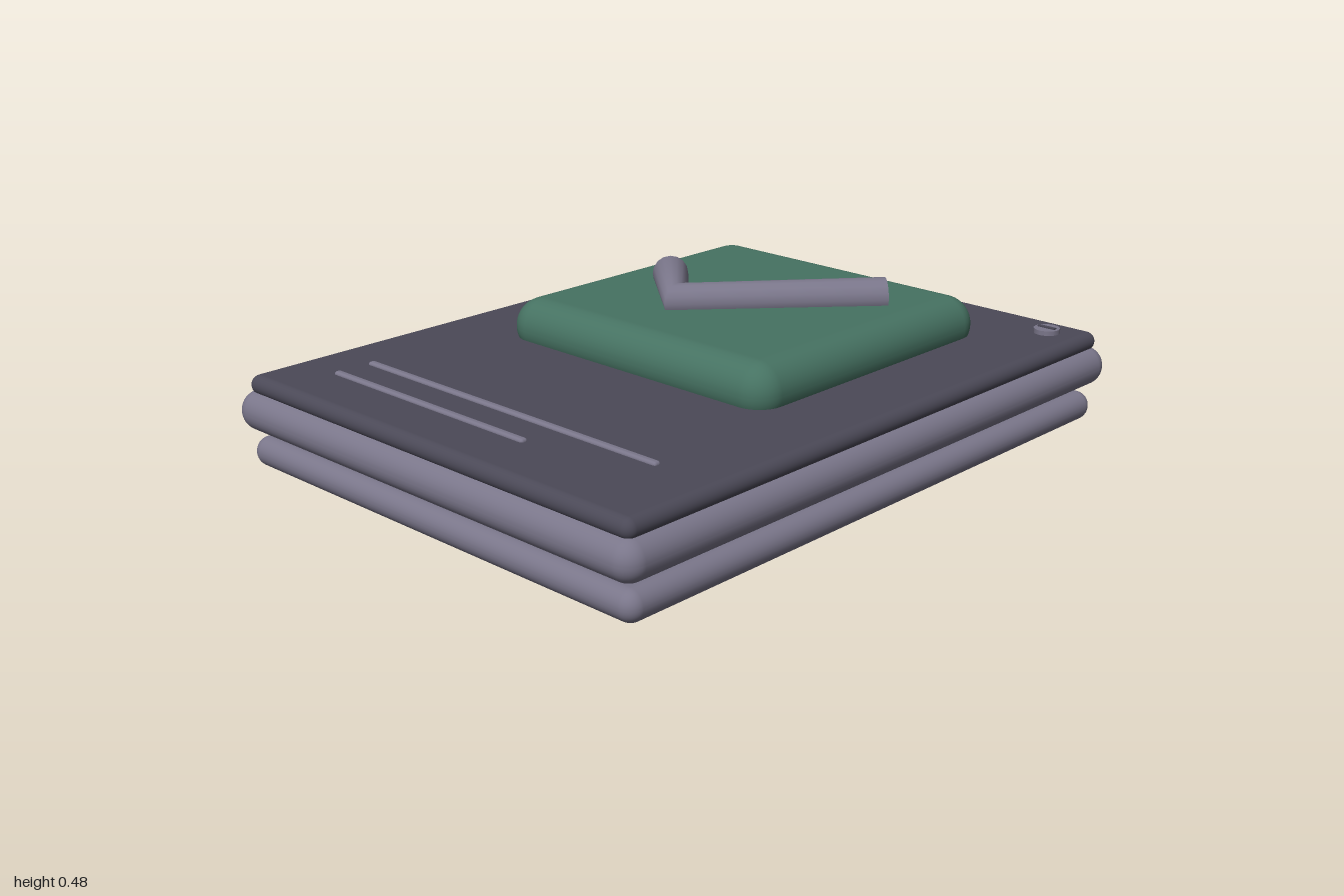
import * as THREE from 'three';
import { RoundedBoxGeometry } from 'three/addons/geometries/RoundedBoxGeometry.js';

const material = (name, color, side = THREE.FrontSide) => {
  const m = new THREE.MeshStandardMaterial({ color, side });
  m.name = name;
  return m;
};

// Polyline whose rings fall exactly on its corners, giving a crisp bend
class BentPath extends THREE.Curve {
  constructor(points) {
    super();
    this.points = points;
  }
  index(u) {
    return Math.round(u * (this.points.length - 1));
  }
  getPoint(u) {
    return this.points[this.index(u)].clone();
  }
  getPointAt(u) {
    return this.getPoint(u);
  }
  getTangentAt(u) {
    const i = this.index(u), p = this.points, t = new THREE.Vector3();
    if (i > 0) t.add(p[i].clone().sub(p[i - 1]).normalize());
    if (i < p.length - 1) t.add(p[i + 1].clone().sub(p[i]).normalize());
    return t.normalize();
  }
}

export function createModel() {
  const model = new THREE.Group();
  const grey = material('mauveGrey', 0x7a768a);
  const dark = material('darkSlate', 0x4b4957);
  const green = material('mutedGreen', 0x467262);
  const tubeGrey = grey;
  tubeGrey.side = THREE.DoubleSide;

  const add = (name, geometry, mat, x = 0, y = 0, z = 0) => {
    const mesh = new THREE.Mesh(geometry, mat);
    mesh.name = name;
    mesh.position.set(x, y, z);
    model.add(mesh);
    return mesh;
  };

  // Rounded slab given by its limits on each axis
  const slab = (name, mat, [x0, x1], [y0, y1], [z0, z1], radius) =>
    add(name, new RoundedBoxGeometry(x1 - x0, y1 - y0, z1 - z0, 5, radius), mat,
      (x0 + x1) / 2, (y0 + y1) / 2, (z0 + z1) / 2);

  // Stacked cards
  slab('backCard', grey, [-0.78, 0.683], [0, 0.085], [-1, 0.9], 0.042);
  slab('frontCard', grey, [-0.687, 0.78], [0.155, 0.265], [-0.905, 1], 0.054);
  slab('facePlate', dark, [-0.66, 0.75], [0.252, 0.306], [-0.885, 0.97], 0.027);
  slab('badge', green, [-0.43, 0.517], [0.255, 0.415], [-0.65, 0.28], 0.079);

  // Check mark, an open tube
  const path = new BentPath([
    new THREE.Vector3(-0.235, 0.43, -0.18),
    new THREE.Vector3(-0.025, 0.43, 0.013),
    new THREE.Vector3(0.352, 0.43, -0.42),
  ]);
  add('checkMark', new THREE.TubeGeometry(path, 2, 0.051, 16, false), tubeGrey);

  // Raised lines near the lower edge
  [[0.69, 0.565], [0.8, 0.235]].forEach(([z, end], i) => {
    slab(`textLine${i + 1}`, grey, [-0.5, end], [0.297, 0.314], [z - 0.011, z + 0.011], 0.008);
  });

  // Slotted screws in the upper corners
  for (const x of [-0.56, 0.647]) {
    add('screwHead', new THREE.CylinderGeometry(0.037, 0.037, 0.02, 12), grey, x, 0.309, -0.78);
    add('screwSlot', new THREE.BoxGeometry(0.054, 0.006, 0.011), dark, x, 0.32, -0.78);
  }

  return model;
}
